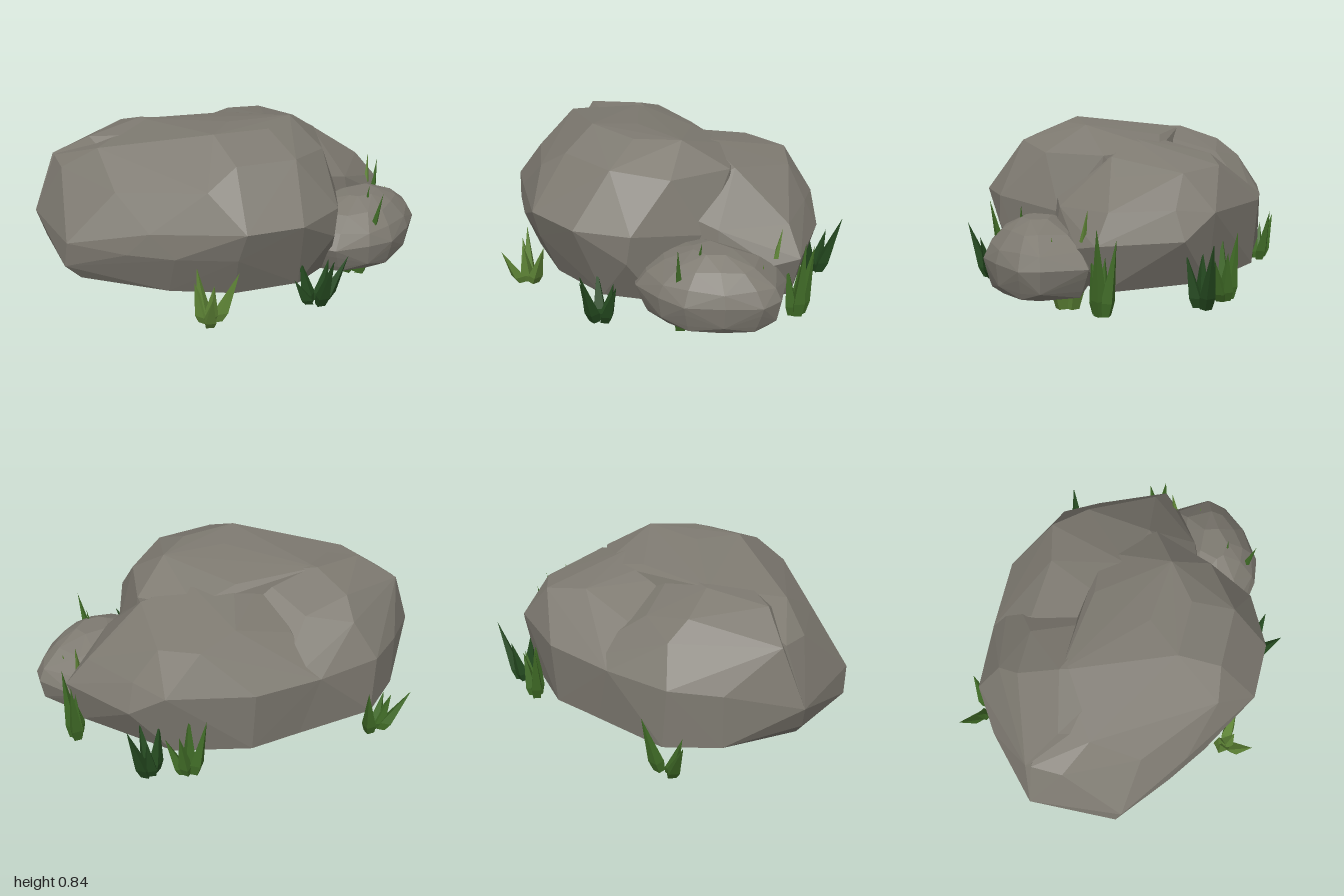
import * as THREE from 'three';
import { mergeGeometries } from 'three/addons/utils/BufferGeometryUtils.js';
import { ConvexGeometry } from 'three/addons/geometries/ConvexGeometry.js';

const mat = (name, color) => Object.assign(new THREE.MeshStandardMaterial({ color }), { name });

// Faceted stone lump spanning a handful of corner points
function stone(name, points, material) {
  const mesh = new THREE.Mesh(new ConvexGeometry(points.map((p) => new THREE.Vector3(...p))), material);
  mesh.name = name;
  return mesh;
}

// Four-sided blade: thick foot, widest low down, tapering to a leaning tip
function blade([bx, bz], [tx, ty, tz], w, turn) {
  const g = new THREE.CylinderGeometry(0, w, 1, 4, 2).toNonIndexed();
  g.rotateY(turn);
  const p = g.attributes.position;
  const widths = [0.75, 1, 0];
  for (let i = 0; i < p.count; i++) {
    const level = Math.round((p.getY(i) + 0.5) * 2);
    const t = [0, 0.18, 1][level];
    const r = Math.hypot(p.getX(i), p.getZ(i)) || 1;
    const s = (widths[level] * w) / r;
    p.setXYZ(i,
      p.getX(i) * s + bx + (tx - bx) * t,
      0.005 + (ty - 0.005) * t,
      p.getZ(i) * s + bz + (tz - bz) * t);
  }
  g.computeVertexNormals();
  return g;
}

// Tuft: blades fan out from a shared root towards the given tips
function tuft(name, [x, z], tips, material, w = 0.038) {
  const blades = tips.map((tip, i) =>
    blade([x + (tip[0] - x) * 0.3, z + (tip[2] - z) * 0.3], tip, w, i * 0.7));
  const mesh = new THREE.Mesh(mergeGeometries(blades), material);
  mesh.name = name;
  return mesh;
}

export function createModel() {
  const group = new THREE.Group();
  group.name = 'rockWithGrass';
  const rock = mat('grey stone', 0x7e7a71);
  const dark = mat('dark grass', 0x24491f);
  const mid = mat('green grass', 0x3f6a26);
  const light = mat('light grass', 0x5e8436);

  // Boulder, front lobe; its back corners sink into the two rear lobes
  group.add(stone('boulderFront', [
    [-0.88, 0.12, 0.15], [-0.5, 0.1, 0.42], [-0.2, 0.09, 0.55], [0.15, 0.08, 0.56], [0.4, 0.08, 0.42], [0.55, 0.08, 0.1],
    [-0.96, 0.2, -0.25], [-0.96, 0.2, 0.15], [-1, 0.33, -0.3], [-0.95, 0.34, 0.18], [-0.9, 0.12, -0.2],
    [-0.7, 0.32, 0.38], [-0.5, 0.32, 0.52], [-0.22, 0.32, 0.65], [0.12, 0.32, 0.65], [0.34, 0.32, 0.58],
    [-0.2, 0.48, 0.71], [0.1, 0.47, 0.71], [0.36, 0.47, 0.57], [-0.6, 0.44, 0.44], [0.53, 0.42, 0.22],
    [-0.7, 0.59, 0.22], [-0.33, 0.65, 0.53], [-0.17, 0.75, 0.5], [0.15, 0.74, 0.5], [0.39, 0.7, 0.32],
    [-0.2, 0.845, 0.28], [0.1, 0.835, 0.28], [0.29, 0.835, 0.13], [-0.05, 0.835, 0.1], [0.5, 0.7, 0],
    [-0.88, 0.62, -0.14], [-0.88, 0.63, -0.3], [-0.71, 0.735, -0.04], [-0.4, 0.78, -0.27], [0.05, 0.77, -0.22],
    [0.3, 0.72, -0.25], [0.3, 0.13, -0.45], [-0.6, 0.13, -0.4],
  ], rock));

  // Boulder, right rear lobe
  group.add(stone('boulderBackRight', [
    [0.22, 0.46, -0.75], [0.22, 0.13, -0.72], [-0.15, 0.44, -0.745], [-0.15, 0.12, -0.71], [-0.1, 0.61, -0.53],
    [0.2, 0.69, -0.5], [0.42, 0.655, -0.56], [0.57, 0.63, -0.4], [0.61, 0.45, -0.56], [0.56, 0.1, -0.52],
    [0.7, 0.47, -0.38], [0.75, 0.33, -0.43], [0.93, 0.33, -0.04], [0.86, 0.1, -0.06], [0.82, 0.47, -0.08],
    [0.84, 0.3, 0.07], [0.62, 0.61, -0.08], [0.5, 0.08, 0.15], [0.5, 0.695, -0.04], [0.25, 0.77, -0.1],
    [0, 0.775, -0.1], [-0.2, 0.74, -0.1], [-0.3, 0.2, 0], [0.3, 0.55, 0.3], [0.6, 0.46, 0.2], [0.62, 0.3, 0.22],
  ], rock));

  // Boulder, left rear lobe
  group.add(stone('boulderBackLeft', [
    [-0.5, 0.44, -0.72], [-0.48, 0.13, -0.73], [-0.15, 0.44, -0.745], [0.1, 0.42, -0.73], [0, 0.12, -0.71],
    [-0.72, 0.42, -0.57], [-0.72, 0.14, -0.57], [-1, 0.33, -0.3], [-0.96, 0.2, -0.25], [-0.9, 0.12, -0.2],
    [-0.88, 0.63, -0.33], [-0.42, 0.62, -0.61], [-0.45, 0.71, -0.49], [-0.2, 0.66, -0.5], [-0.71, 0.745, -0.2],
    [-0.4, 0.785, -0.28], [-0.1, 0.77, -0.15], [-0.3, 0.78, 0.05], [-0.6, 0.6, 0.1], [-0.85, 0.12, 0.1],
    [0.1, 0.5, -0.3], [-0.2, 0.3, 0.2],
  ], rock));

  // Small stone: one outline scaled into stacked rings, its inner end buried in the boulder
  const outline = [[0.37, 0.55], [0.55, 0.58], [0.7, 0.56], [0.86, 0.45], [0.98, 0.31], [1, 0.2],
    [0.88, 0], [0.75, 0.01], [0.35, 0.03], [0.15, 0.2], [0.24, 0.43]];
  const rings = [[0.07, 0.84], [0.11, 0.94], [0.17, 0.99], [0.22, 1], [0.29, 0.91], [0.365, 0.64], [0.415, 0.25]];
  const small = [];
  rings.forEach(([y, s], j) => outline.forEach(([x, z], i) => {
    const k = s * (j === 3 ? 1 : 1 - 0.03 * ((i * 3 + j * 2 + (i % 2)) % 3));
    small.push([0.66 + (x - 0.66) * k, y - 0.008 * ((i + j) % 2) * (j > 0), 0.31 + (z - 0.31) * k]);
  }));
  group.add(stone('smallStone', small, rock));

  // Grass tufts around the foot of the stones
  group.add(
    tuft('frontLeftTuft', [-0.37, 0.62],
      [[-0.41, 0.29, 0.58], [-0.21, 0.25, 0.64], [-0.43, 0.22, 0.6], [-0.4, 0.21, 0.77], [-0.35, 0.22, 0.66]], light),
    tuft('frontTuft', [0.21, 0.64],
      [[0.14, 0.24, 0.59], [0.23, 0.3, 0.79], [0.37, 0.25, 0.68], [0.08, 0.16, 0.66], [0.29, 0.22, 0.62]], dark),
    tuft('rightBackTuft', [0.67, -0.51],
      [[0.82, 0.34, -0.57], [0.7, 0.27, -0.43], [0.62, 0.28, -0.5], [0.72, 0.24, -0.57]], dark),
    tuft('backTuft', [0.51, -0.6],
      [[0.44, 0.33, -0.66], [0.5, 0.34, -0.585], [0.57, 0.25, -0.62], [0.62, 0.22, -0.56]], mid),
    tuft('backLeftTuft', [-0.5, -0.72],
      [[-0.67, 0.24, -0.81], [-0.41, 0.3, -0.8], [-0.58, 0.2, -0.7], [-0.6, 0.2, -0.74]], mid),
    tuft('rightTuft', [0.9, -0.06],
      [[0.95, 0.42, -0.05], [0.94, 0.37, -0.14], [0.87, 0.3, -0.01], [0.9, 0.28, -0.08]], mid, 0.038),
    tuft('smallStoneFrontTuft', [0.55, 0.41],
      [[0.64, 0.49, 0.54], [0.65, 0.47, 0.38], [0.45, 0.25, 0.42], [0.62, 0.3, 0.44]], mid, 0.042),
    tuft('smallStoneBackTuft', [0.78, 0.13],
      [[0.85, 0.49, 0.01], [0.78, 0.38, 0.2], [0.87, 0.36, 0.18], [0.7, 0.3, 0.12]], light, 0.042),
  );
  return group;
}
